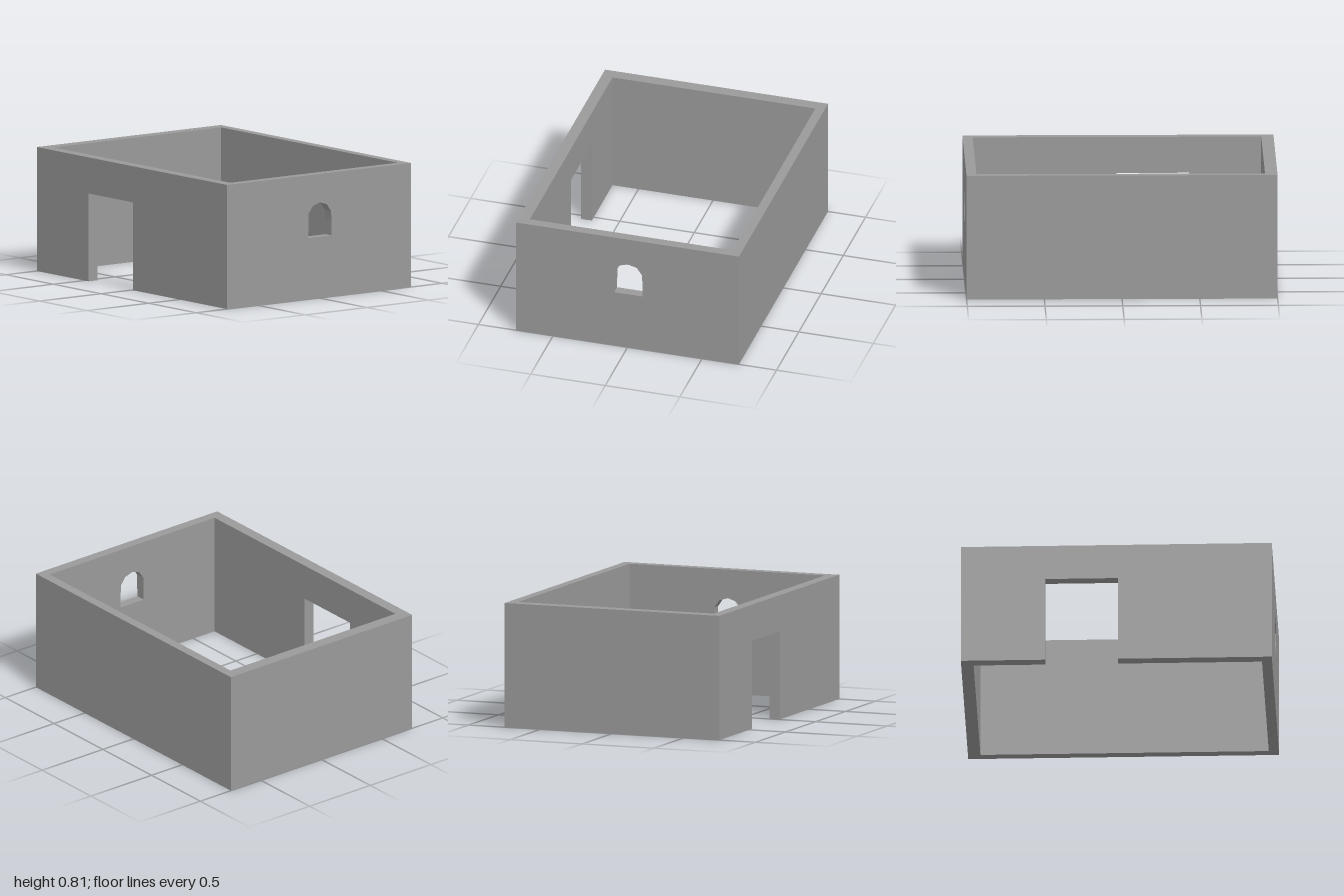
import * as THREE from 'three';

const HEIGHT = 0.807;
const OUTER = { x0: -1, x1: 1, z0: -0.748, z1: 0.748 };
const INNER = { x0: -0.92, x1: 0.935, z0: -0.687, z1: 0.674 };

const outline = (points) => new THREE.Shape(points.map(([x, y]) => new THREE.Vector2(x, y)));
const panel = (a, b) => outline([[a, 0], [b, 0], [b, HEIGHT], [a, HEIGHT]]);

export function createModel() {
  const group = new THREE.Group();
  const material = new THREE.MeshStandardMaterial({ color: 0x9a9a9a, flatShading: true });

  // Extrudes a wall along z or x, then mitres its inner face to the room's corners
  function addWall(name, shape, axis, from, to, outerFace) {
    const geometry = new THREE.ExtrudeGeometry(shape, { depth: to - from, bevelEnabled: false });
    if (axis === 'x') geometry.rotateY(Math.PI / 2).translate(from, 0, 0);
    else geometry.translate(0, 0, from);

    const p = geometry.attributes.position;
    for (let i = 0; i < p.count; i++) {
      const x = p.getX(i), z = p.getZ(i);
      if (Math.abs((axis === 'x' ? x : z) - outerFace) < 1e-4) continue;
      p.setX(i, THREE.MathUtils.clamp(x, INNER.x0, INNER.x1));
      p.setZ(i, THREE.MathUtils.clamp(z, INNER.z0, INNER.z1));
    }
    geometry.computeVertexNormals();
    const mesh = new THREE.Mesh(geometry, material);
    mesh.name = name;
    group.add(mesh);
  }

  // Front wall with a doorway open to the ground
  const front = outline([
    [-1, 0], [-0.457, 0], [-0.457, 0.572], [0.01, 0.572], [0.01, 0], [1, 0], [1, HEIGHT], [-1, HEIGHT],
  ]);
  addWall('frontWall', front, 'z', INNER.z1, OUTER.z1, OUTER.z1);

  // Plain back and right-hand walls
  addWall('backWall', panel(-1, 1), 'z', OUTER.z0, INNER.z0, OUTER.z0);
  addWall('rightWall', panel(OUTER.z0, OUTER.z1), 'x', OUTER.x0, INNER.x0, OUTER.x0);

  // Left-hand wall with a small arched window
  const windowWall = panel(OUTER.z0, OUTER.z1);
  windowWall.holes.push(outline([
    [-0.09, 0.398], [-0.086, 0.556], [-0.051, 0.604], [0.002, 0.622],
    [0.063, 0.604], [0.096, 0.557], [0.1, 0.5], [0.1, 0.398],
  ]));
  addWall('leftWall', windowWall, 'x', INNER.x1, OUTER.x1, OUTER.x1);

  return group;
}
